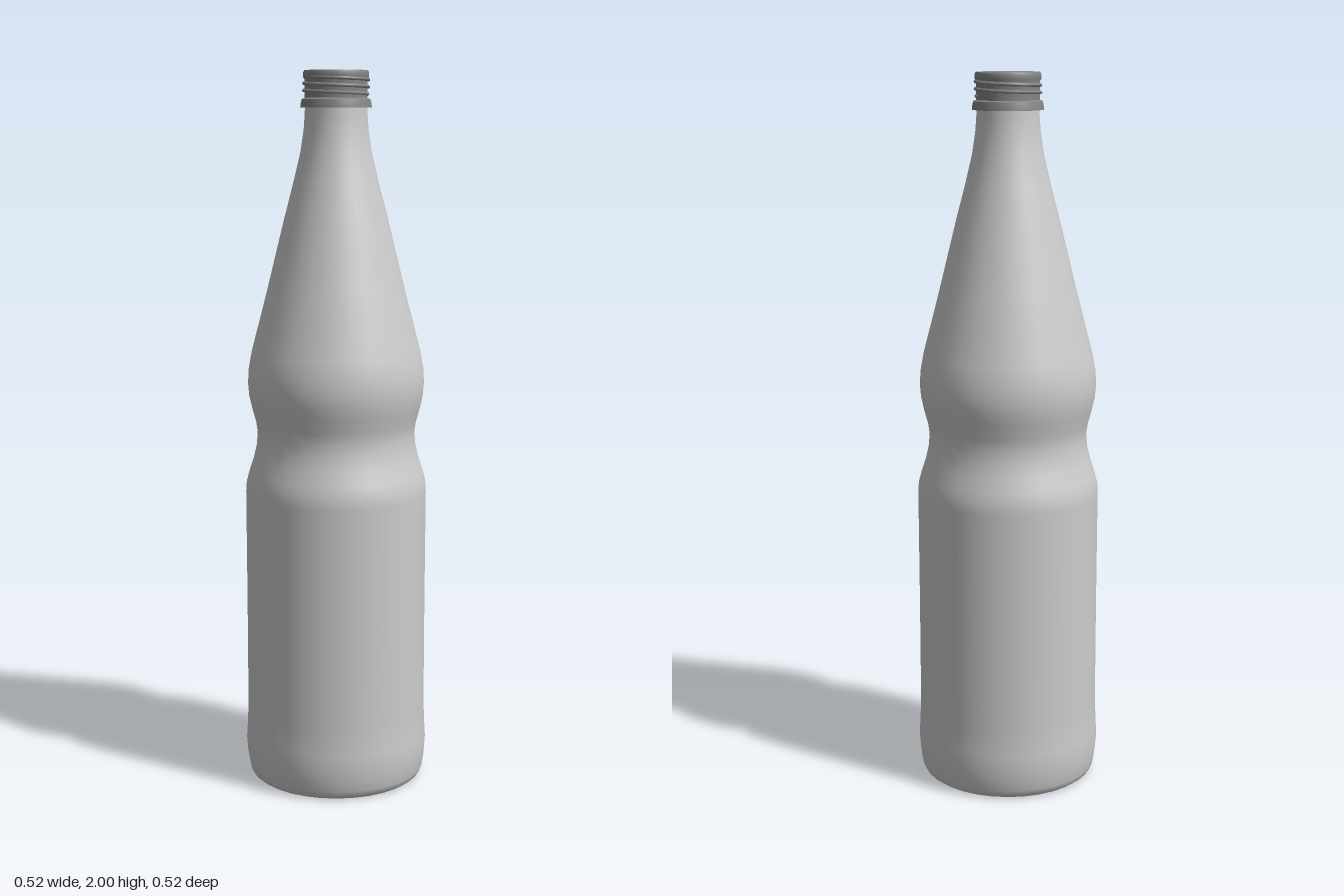
import * as THREE from 'three';

const glass = new THREE.MeshStandardMaterial({ name: 'light grey', color: 0xcccccc });
const capGrey = new THREE.MeshStandardMaterial({ name: 'dark grey', color: 0x868686 });

// Turned part from [radius, height] pairs, listed bottom to top
function turned(name, profile, material, sides = 32) {
  const points = profile.map(([r, y]) => new THREE.Vector2(r, y));
  const mesh = new THREE.Mesh(new THREE.LatheGeometry(points, sides), material);
  mesh.name = name;
  return mesh;
}

// Spiral ridge around the cap
class Spiral extends THREE.Curve {
  getPoint(t, target = new THREE.Vector3()) {
    const a = t * Math.PI * 2 * 2.5;
    const r = 0.085 + 0.003 * Math.min(1, 12 * t, 12 * (1 - t));
    return target.set(r * Math.cos(a), 1.935 + 0.048 * t, r * Math.sin(a));
  }
}

export function createModel() {
  const bottle = new THREE.Group();
  bottle.name = 'bottle';

  // Body: rounded foot, straight label area, waist and tapering neck
  bottle.add(turned('body', [
    [0.232, 0], [0.243, 0.008], [0.25, 0.025], [0.256, 0.06], [0.259, 0.1],
    [0.257, 0.135], [0.254, 0.2], [0.254, 0.5], [0.255, 0.83], [0.253, 0.86],
    [0.245, 0.89], [0.232, 0.93], [0.224, 0.965], [0.221, 1.0], [0.225, 1.03],
    [0.236, 1.07], [0.244, 1.105], [0.247, 1.14], [0.245, 1.18], [0.236, 1.23],
    [0.192, 1.4], [0.143, 1.6], [0.117, 1.7], [0.098, 1.78], [0.089, 1.84],
    [0.086, 1.88], [0.085, 1.91],
  ], glass));

  // Hollowed underside
  bottle.add(turned('base', [
    [0, 0.045], [0.08, 0.04], [0.16, 0.025], [0.21, 0.009], [0.232, 0],
  ], glass));

  // Cap: flared skirt, threaded wall and flat lid
  const cap = new THREE.Group();
  cap.name = 'cap';
  cap.add(
    turned('capUnderside', [[0.08, 1.9], [0.098, 1.9]], capGrey, 48),
    turned('capSkirt', [[0.098, 1.9], [0.097, 1.91], [0.094, 1.923]], capGrey, 48),
    turned('capLedge', [[0.094, 1.923], [0.086, 1.926]], capGrey, 48),
    turned('capWall', [[0.086, 1.926], [0.086, 1.975], [0.09, 1.981], [0.09, 1.994], [0.087, 2]], capGrey, 48),
    turned('capLid', [[0.087, 2], [0, 2]], capGrey, 48),
  );
  const thread = new THREE.Mesh(new THREE.TubeGeometry(new Spiral(), 120, 0.005, 6), capGrey);
  thread.name = 'capThread';
  cap.add(thread);
  bottle.add(cap);

  return bottle;
}
